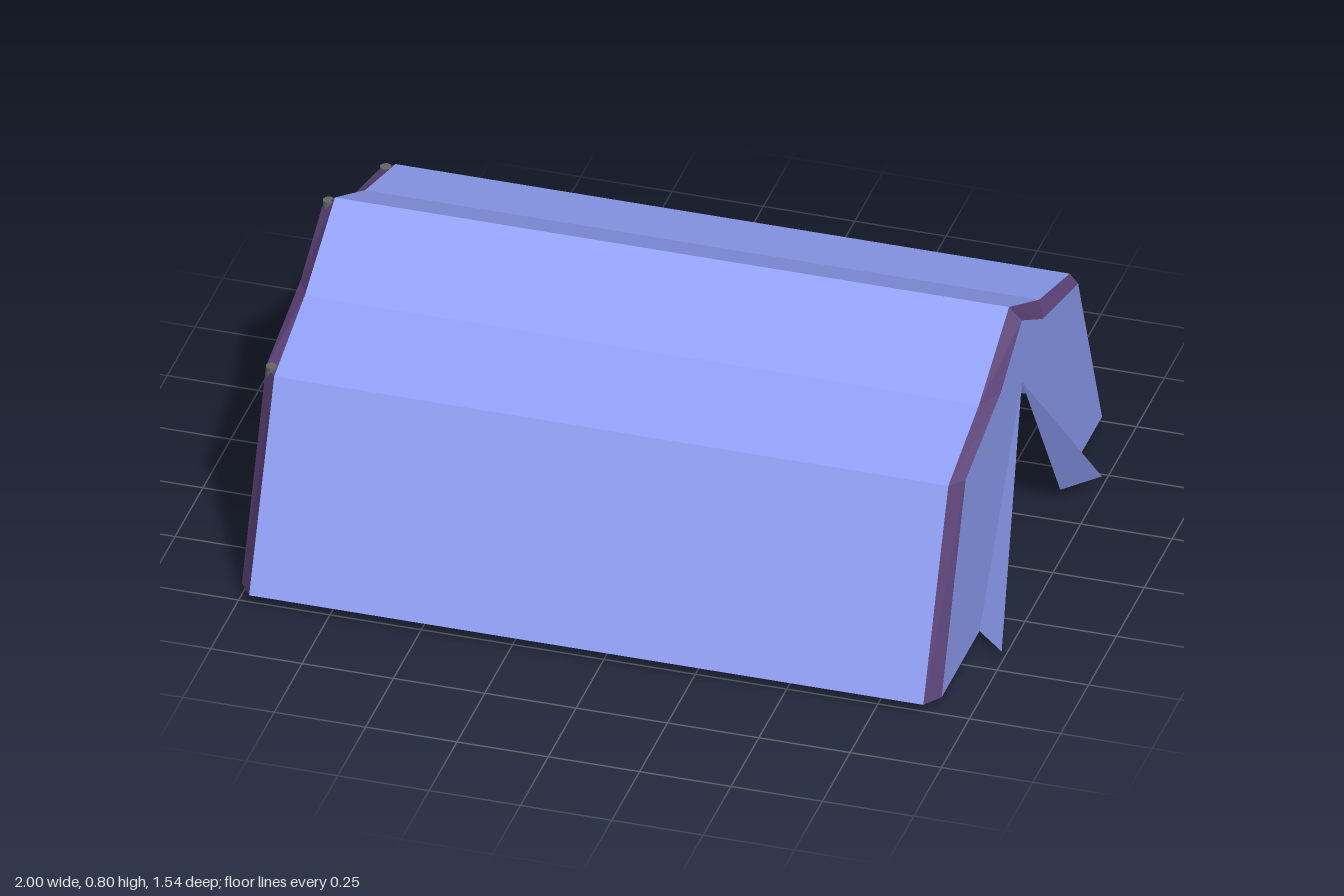
import * as THREE from 'three';

const mat = (color, side = THREE.FrontSide) =>
  new THREE.MeshStandardMaterial({ color, side, flatShading: true });

// Half profiles as [z, y], from the hem up to the ridge
const OUTER = [[0.77, 0.033], [0.545, 0.575], [0.27, 0.66], [0, 0.8]];
const INNER = [[0.72, 0.033], [0.505, 0.575], [0.19, 0.655], [0, 0.765]];
const full = (half) => [...half, ...half.slice(0, -1).reverse().map(([z, y]) => [-z, y])];

export function createModel() {
  const group = new THREE.Group();
  const canvas = mat(0x8f9ff5, THREE.DoubleSide);
  const trim = mat(0x5c4378, THREE.DoubleSide);
  const pole = mat(0x666666);
  const metal = mat(0x5c6278);
  const wood = mat(0x7a4a10);
  const darkWood = mat(0x3f2608);

  const add = (parent, name, geometry, material, x = 0, y = 0, z = 0) => {
    const mesh = new THREE.Mesh(geometry, material);
    mesh.name = name;
    mesh.position.set(x, y, z);
    parent.add(mesh);
    return mesh;
  };

  // Open sheet stretched between two cross-sections
  const sheet = (a, xa, b, xb) => {
    const p = [];
    for (let i = 0; i < a.length - 1; i++) {
      const [q, r, s, t] = [[xa, a[i]], [xb, b[i]], [xb, b[i + 1]], [xa, a[i + 1]]]
        .map(([x, [z, y]]) => [x, y, z]);
      p.push(...q, ...r, ...s, ...q, ...s, ...t);
    }
    const g = new THREE.BufferGeometry();
    g.setAttribute('position', new THREE.Float32BufferAttribute(p, 3));
    g.computeVertexNormals();
    return g;
  };

  // Round bar between two points
  const bar = (parent, name, from, to, radius, material, sides = 8) => {
    const a = new THREE.Vector3(...from), d = new THREE.Vector3(...to).sub(a);
    const mesh = add(parent, name, new THREE.CylinderGeometry(radius, radius, d.length(), sides), material);
    mesh.position.copy(a).addScaledVector(d, 0.5);
    mesh.quaternion.setFromUnitVectors(new THREE.Vector3(0, 1, 0), d.normalize());
  };

  // Roof and side walls, with sloping trim at both ends
  const outer = full(OUTER), inner = full(INNER);
  add(group, 'roofAndSides', sheet(outer, -0.965, outer, 0.88), canvas);
  add(group, 'backTrim', sheet(inner, -1, outer, -0.965), trim);
  add(group, 'doorTrim', sheet(outer, 0.88, inner, 0.915), trim);

  // End walls; the door end has a triangular opening
  const wall = (name, points, x) => {
    const shape = new THREE.Shape(points.map(([z, y]) => new THREE.Vector2(z, y)));
    add(group, name, new THREE.ShapeGeometry(shape).rotateY(-Math.PI / 2), canvas, x);
  };
  wall('backWall', inner, -1);
  wall('doorWall', [...inner, [-0.345, 0.033], [0, 0.575], [0.38, 0.033]], 0.915);

  // Door flaps folded outwards
  for (const [name, hinge, tip] of [['leftFlap', 0.38, 0.46], ['rightFlap', -0.345, -0.44]]) {
    const g = new THREE.BufferGeometry().setFromPoints([
      new THREE.Vector3(0.915, 0.575, 0),
      new THREE.Vector3(0.915, 0.033, hinge),
      new THREE.Vector3(1, 0.033, tip),
    ]);
    g.computeVertexNormals();
    add(group, name, g, canvas);
  }

  // Pole frame
  const frame = new THREE.Group();
  frame.name = 'poleFrame';
  group.add(frame);
  for (const s of [-1, 1]) {
    bar(frame, 'cornerPole', [-0.982, 0, s * 0.512], [-0.982, 0.585, s * 0.512], 0.016, pole);
    bar(frame, 'eaveBeam', [-0.99, 0.558, s * 0.505], [0.9, 0.558, s * 0.505], 0.014, pole);
  }
  bar(frame, 'centrePole', [-0.982, 0.033, 0], [-0.982, 0.79, 0], 0.016, pole);
  bar(frame, 'ridgeBeam', [-0.99, 0.755, 0], [0.9, 0.755, 0], 0.014, pole);
  bar(frame, 'tieBeam', [-0.982, 0.553, -0.512], [-0.982, 0.553, 0.512], 0.018, pole);

  // Shelf rack
  const rack = new THREE.Group();
  rack.name = 'shelfRack';
  rack.position.x = -0.04;
  group.add(rack);
  for (const y of [0.03, 0.15, 0.264])
    add(rack, 'shelf', new THREE.BoxGeometry(0.125, 0.006, 0.255), metal, 0, y, 0);
  for (const x of [-0.052, 0.052])
    for (const z of [-0.118, 0.118])
      bar(rack, 'rackPost', [x, 0.02, z], [x, 0.275, z], 0.005, metal, 6);

  // Barrel standing on the bottom shelf
  const barrel = new THREE.Group();
  barrel.name = 'barrel';
  barrel.position.set(-0.04, 0.033, 0);
  group.add(barrel);
  const stave = [[0, 0], [0.036, 0], [0.045, 0.03], [0.048, 0.052], [0.045, 0.075], [0.036, 0.104], [0, 0.104]];
  add(barrel, 'barrelBody', new THREE.LatheGeometry(stave.map(([r, y]) => new THREE.Vector2(r, y)), 12), wood);
  for (const y of [0.027, 0.077])
    add(barrel, 'barrelHoop', new THREE.CylinderGeometry(0.0465, 0.0465, 0.005, 12, 1, true), darkWood, 0, y, 0);

  // Crate with edge boards and a diagonal brace on every side
  const crate = new THREE.Group();
  crate.name = 'crate';
  crate.position.set(-0.04, 0.079, 0.228);
  group.add(crate);
  add(crate, 'crateBody', new THREE.BoxGeometry(0.084, 0.084, 0.084), darkWood);
  for (let i = 0; i < 4; i++) {
    const side = new THREE.Group();
    side.name = 'crateSide';
    side.rotation.y = i * Math.PI / 2;
    crate.add(side);
    for (const s of [-1, 1]) {
      add(side, 'crateRail', new THREE.BoxGeometry(0.092, 0.011, 0.011), wood, 0, s * 0.0405, 0.0405);
      add(side, 'crateBoard', new THREE.BoxGeometry(0.035, 0.072, 0.003), wood, s * 0.0185, 0, 0.042);
    }
    add(side, 'crateStile', new THREE.BoxGeometry(0.011, 0.092, 0.011), wood, 0.0405, 0, 0.0405);
    add(side, 'crateBrace', new THREE.BoxGeometry(0.1, 0.011, 0.004), darkWood, 0, 0, 0.0435).rotation.z = Math.PI / 4;
  }
  return group;
}
